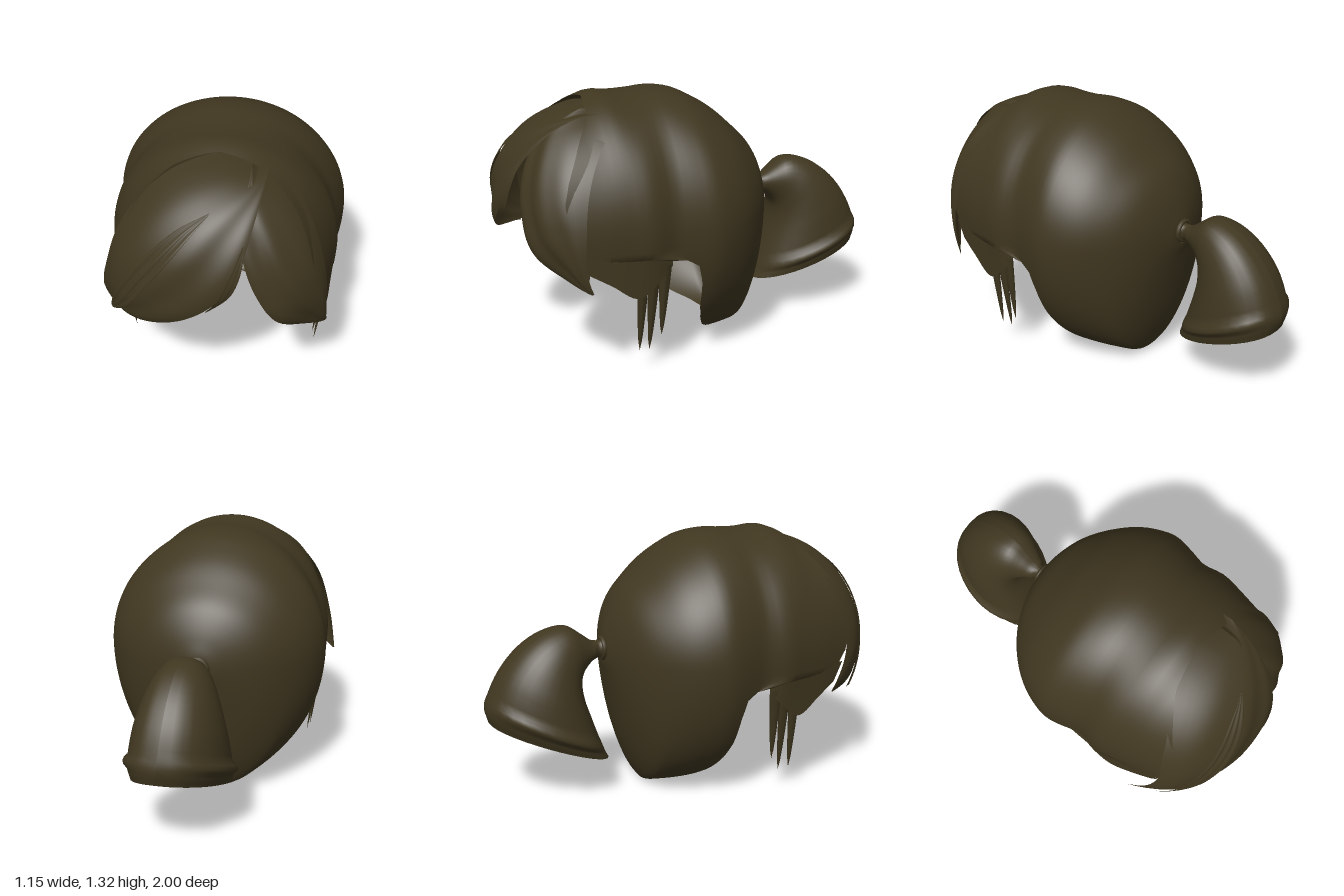
import * as THREE from 'three';

const V = (p) => new THREE.Vector3(...p);
const hair = new THREE.MeshStandardMaterial({ color: 0x403720, side: THREE.DoubleSide });

// Sine with a slightly squared-off shape, for fuller cross-sections
const fullSin = (q, power) => Math.sign(Math.sin(q)) * Math.pow(Math.abs(Math.sin(q)), power);

// Smooth surface from a rule f(u, v) -> Vector3
function surface(name, nu, nv, f) {
  const pos = [], idx = [];
  for (let i = 0; i <= nu; i++)
    for (let j = 0; j <= nv; j++) pos.push(...f(i / nu, j / nv).toArray());
  for (let i = 0; i < nu; i++)
    for (let j = 0; j < nv; j++) {
      const a = i * (nv + 1) + j, b = a + nv + 1;
      idx.push(a, b, a + 1, b, b + 1, a + 1);
    }
  const geo = new THREE.BufferGeometry();
  geo.setAttribute('position', new THREE.Float32BufferAttribute(pos, 3));
  geo.setIndex(idx);
  geo.computeVertexNormals();
  const mesh = new THREE.Mesh(geo, hair);
  mesh.name = name;
  return mesh;
}

// Sheet stretched between two edge curves, passed through an optional shaping rule
function sheet(name, edgeA, edgeB, shape = (p) => p, nu = 32, nv = 14) {
  const a = new THREE.CatmullRomCurve3(edgeA.map(V));
  const b = new THREE.CatmullRomCurve3(edgeB.map(V));
  return surface(name, nu, nv, (u, v) => shape(a.getPoint(u).lerp(b.getPoint(u), v), u, v));
}

// Cap cross-sections along z: [z, half width, height above centre, depth below centre]
const CENTRE = 0.72, BACK = -0.39;
const sections = [
  [-0.39, 0.04, 0.05, 0.05], [-0.375, 0.12, 0.13, 0.13], [-0.35, 0.205, 0.205, 0.27],
  [-0.3, 0.315, 0.3, 0.5], [-0.2, 0.44, 0.4, 0.72], [-0.1, 0.517, 0.485, 0.72],
  [0, 0.56, 0.545, 0.72], [0.08, 0.575, 0.582, 0.72], [0.2, 0.55, 0.6, 0.72],
  [0.28, 0.53, 0.595, 0.72], [0.4, 0.55, 0.592, 0.72], [0.5, 0.53, 0.6, 0.72],
  [0.6, 0.51, 0.57, 0.72], [0.7, 0.485, 0.57, 0.72], [0.8, 0.46, 0.57, 0.72],
];
// Where the cap ends in z, by angle from straight down
const rim = [
  [0, -0.2], [0.315, -0.1], [0.476, 0], [0.61, 0.06], [0.766, 0.1], [0.95, 0.13],
  [1.185, 0.145], [1.33, 0.17], [1.4, 0.26], [1.43, 0.7], [1.57, 0.77], [1.89, 0.79],
  [2.07, 0.76], [2.41, 0.68], [2.72, 0.6], [Math.PI, 0.56],
];
const radii = new THREE.CubicInterpolant(
  sections.map((s) => Math.sqrt(s[0] - BACK)), sections.flatMap((s) => s.slice(1)), 3);
const rimZ = new THREE.LinearInterpolant(rim.map((r) => r[0]), rim.map((r) => r[1]), 1);

function makeCap() {
  const longest = Math.sqrt(0.79 - BACK);
  return surface('cap', 128, 48, (u, v) => {
    const phi = u * Math.PI * 2;
    const end = rimZ.evaluate(Math.min(phi, Math.PI * 2 - phi))[0];
    const t = Math.min(v * longest, Math.sqrt(end - BACK));
    const [rx, up, down] = radii.evaluate(t);
    const c = Math.cos(phi);
    const x = rx * (c > 0 ? fullSin(phi, 0.95) : Math.sin(phi));
    return V([x, CENTRE - c * (c > 0 ? Math.min(down, CENTRE) : up), BACK + t * t]);
  });
}

// Rounded forehead that the fringe lies on; the z of a point acts as an offset
function forehead(p, u, v) {
  const dx = (p.x + 0.05) / (p.x > -0.05 ? 0.66 : 0.58);
  const dy = Math.max(0, (p.y - 0.78) / 0.53);
  const curl = Math.max(0, (0.75 - p.y) / 0.22);
  const z = 0.5 + 0.5 * Math.sqrt(Math.max(0, 1 - dx * dx - dy * dy)) - 0.06 * curl * curl;
  const ripple = 0.005 * Math.sin(v * Math.PI * 5) * Math.sin(u * Math.PI);
  return V([p.x, p.y, z + p.z + ripple]);
}

// Same, with the outer edge bent back under the cap
function tucked(p, u, v) {
  const q = forehead(p, u, v);
  q.z -= 0.15 * Math.pow(1 - v, 6) * (1 - u * u);
  return q;
}

// Tapered strand hanging from a to b
function strand(name, a, b, wx, wz) {
  const path = new THREE.LineCurve3(V(a), V(b));
  return surface(name, 8, 8, (u, v) => {
    const p = path.getPoint(u), w = Math.pow(1 - u, 0.6), q = v * Math.PI * 2;
    return p.add(V([wx * w * Math.cos(q), 0, wz * w * Math.sin(q)]));
  });
}

// Ponytail sections: [outer z, outer y, inner z, inner y, half width]
const tail = [
  [-0.37, 0.79, -0.37, 0.69, 0.055], [-0.44, 0.78, -0.44, 0.69, 0.055],
  [-0.5, 0.82, -0.49, 0.655, 0.085], [-0.58, 0.87, -0.52, 0.61, 0.12],
  [-0.7, 0.85, -0.525, 0.56, 0.155], [-0.82, 0.775, -0.515, 0.5, 0.185],
  [-0.92, 0.66, -0.49, 0.42, 0.21], [-0.98, 0.54, -0.45, 0.3, 0.225],
  [-1, 0.47, -0.42, 0.22, 0.225], [-0.985, 0.4, -0.4, 0.18, 0.21],
];
function makePonytail() {
  const outer = new THREE.CatmullRomCurve3(tail.map((s) => V([0, s[1], s[0]])));
  const inner = new THREE.CatmullRomCurve3(tail.map((s) => V([0, s[3], s[2]])));
  const width = new THREE.CatmullRomCurve3(tail.map((s) => V([s[4], 0, 0])));
  const ring = (u, v) => {
    const q = v * Math.PI * 2;
    const p = inner.getPoint(u).lerp(outer.getPoint(u), 0.5 + 0.5 * Math.cos(q));
    p.x = width.getPoint(u).x * fullSin(q, 0.85) + 0.05 * u * Math.cos(q);
    return p;
  };
  const group = new THREE.Group();
  group.name = 'ponytail';
  const middle = V([0, 0.26, -0.69]);
  group.add(
    surface('ponytailBody', 36, 32, ring),
    surface('ponytailEnd', 4, 32, (u, v) => ring(1, v).lerp(middle, u)));
  const tie = new THREE.Mesh(new THREE.TorusGeometry(0.05, 0.012, 10, 28), hair);
  tie.name = 'hairTie';
  tie.position.set(0, 0.74, -0.395);
  group.add(tie);
  return group;
}

function makeFringe() {
  const group = new THREE.Group();
  group.name = 'fringe';
  // Wide sweep towards the right side
  group.add(sheet('fringeSweep',
    [[0.22, 1.25, 0], [0, 1.28, 0], [-0.24, 1.21, 0], [-0.43, 1.01, 0], [-0.52, 0.75, 0], [-0.57, 0.54, -0.04]],
    [[0.22, 1.25, 0], [0.18, 1.12, 0], [0.145, 1, 0], [0.08, 0.85, 0], [-0.04, 0.73, 0],
      [-0.22, 0.62, 0], [-0.4, 0.56, 0], [-0.56, 0.535, -0.04]], tucked, 40, 28));
  // Narrower sweep towards the left side
  group.add(sheet('fringeSide',
    [[0.15, 1.27, 0], [0.3, 1.2, 0], [0.42, 1.04, 0], [0.5, 0.8, 0], [0.52, 0.48, 0.03]],
    [[0.15, 1.27, 0], [0.12, 1.1, -0.03], [0.14, 0.97, -0.04], [0.2, 0.8, -0.03], [0.3, 0.63, 0],
      [0.42, 0.53, 0], [0.51, 0.475, 0.03]], tucked, 40, 24));
  // Loose locks
  group.add(sheet('centreLock',
    [[0.14, 1.05, 0.005], [0.08, 0.92, 0.01], [0.03, 0.8, 0.005], [-0.02, 0.73, -0.01]],
    [[0.15, 1.05, 0], [0.135, 0.93, 0], [0.09, 0.82, -0.01], [-0.01, 0.725, -0.02]], forehead, 16, 6));
  group.add(sheet('rightLock',
    [[0, 1.17, -0.01], [-0.16, 1.09, -0.01], [-0.34, 0.9, -0.01], [-0.46, 0.68, 0], [-0.505, 0.53, 0.01]],
    [[0, 1.17, -0.01], [-0.1, 1.07, 0.006], [-0.26, 0.86, 0.008], [-0.38, 0.67, 0.01], [-0.49, 0.535, 0.02]],
    forehead, 28, 12));
  return group;
}

// Panel in front of each ear with three hanging strands
function makeSideburn(side) {
  const m = (p) => [p[0] * side, p[1], p[2]];
  const group = new THREE.Group();
  group.name = side > 0 ? 'leftSideburn' : 'rightSideburn';
  group.add(sheet('sideburnPanel',
    [[0.525, 0.66, 0.3], [0.545, 0.66, 0.4], [0.526, 0.66, 0.5], [0.506, 0.66, 0.6], [0.472, 0.66, 0.75]].map(m),
    [[0.522, 0.56, 0.3], [0.53, 0.5, 0.36], [0.522, 0.42, 0.47], [0.503, 0.5, 0.6], [0.478, 0.56, 0.7]].map(m)));
  for (const [z, tip, x] of [[0.335, 0.19, 0.48], [0.39, 0.11, 0.455], [0.445, 0.12, 0.465]])
    group.add(strand('sideburnStrand', m([0.518, 0.57, z]), m([x, tip, z + 0.008]), 0.014, 0.034));
  return group;
}

export function createModel() {
  const model = new THREE.Group();
  model.name = 'hair';
  model.add(makeCap(), makeFringe(), makePonytail(), makeSideburn(1), makeSideburn(-1));
  return model;
}
